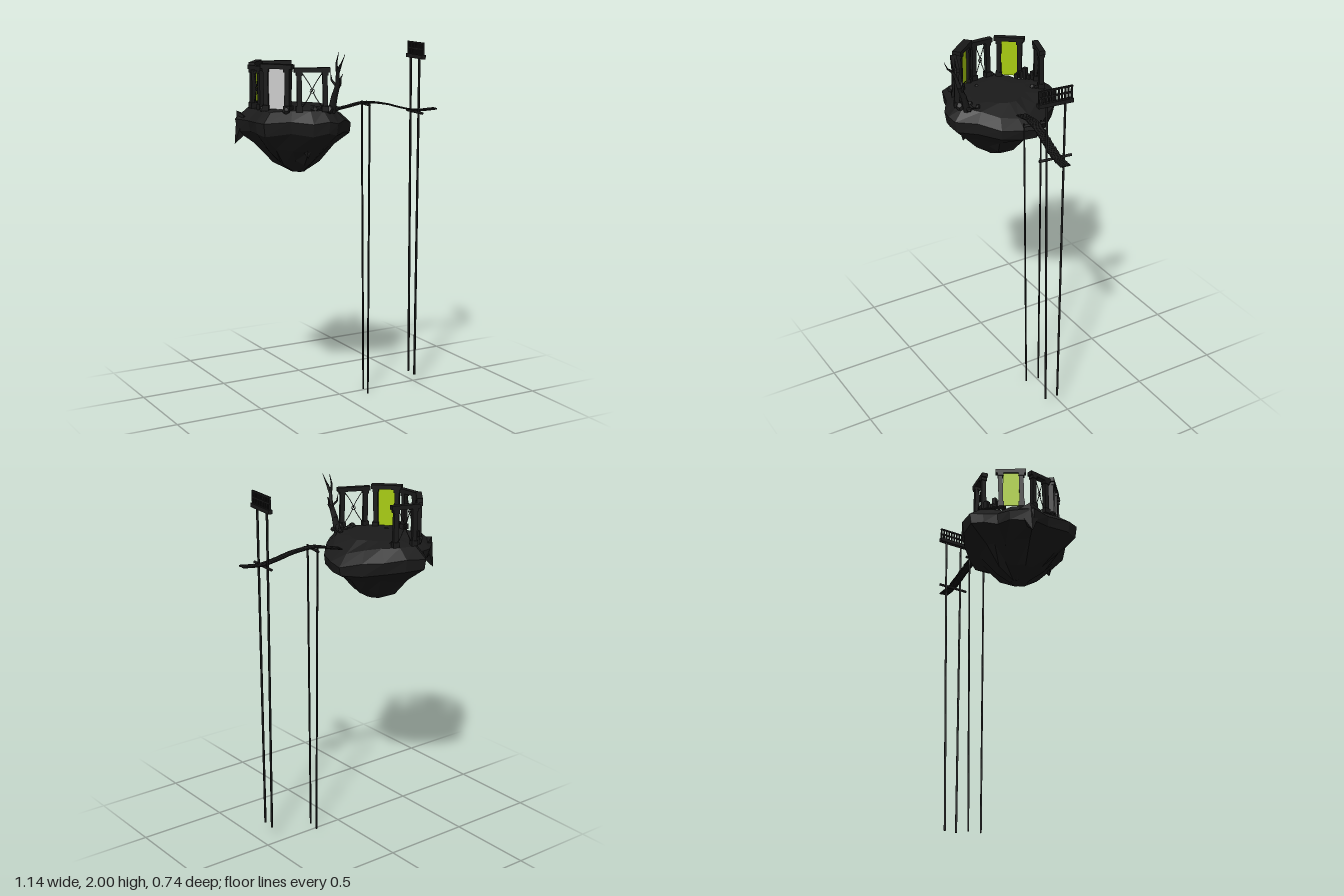
import * as THREE from 'three';

const paint = (color) => new THREE.MeshStandardMaterial({ color });
const rock = paint(0x1b1b1b), wood = paint(0x191919), green = paint(0xa8cc10), grey = paint(0xcccccc);
rock.flatShading = true;
const V = (x, y, z) => new THREE.Vector3(x, y, z);

// Seeded random numbers between -0.5 and 0.5
let seed = 7;
const rnd = () => ((seed = (seed * 16807) % 2147483647) / 2147483647) - 0.5;

function add(parent, name, geometry, material, x = 0, y = 0, z = 0) {
  const mesh = new THREE.Mesh(geometry, material);
  mesh.name = name;
  mesh.position.set(x, y, z);
  parent.add(mesh);
  return mesh;
}
const box = (parent, name, w, h, d, x, y, z, material = wood) =>
  add(parent, name, new THREE.BoxGeometry(w, h, d), material, x, y, z);

// Straight tapered rod from a to b
function rod(parent, name, a, b, ra, rb = ra, sides = 6, material = wood) {
  const d = b.clone().sub(a), mid = a.clone().add(b).multiplyScalar(0.5);
  const mesh = add(parent, name, new THREE.CylinderGeometry(rb, ra, d.length(), sides), material, mid.x, mid.y, mid.z);
  mesh.quaternion.setFromUnitVectors(V(0, 1, 0), d.normalize());
  return mesh;
}

// Floating island: one rim outline scaled through stacked rings
function island(parent) {
  const rim = [[-0.31, -0.37], [-0.2, -0.34], [-0.1, -0.27], [-0.03, -0.17], [0.046, -0.07], [0.043, 0.01],
    [0, 0.125], [-0.09, 0.22], [-0.18, 0.31], [-0.235, 0.32], [-0.32, 0.3], [-0.42, 0.235], [-0.555, 0.19],
    [-0.57, 0.125], [-0.55, -0.01], [-0.57, -0.13], [-0.47, -0.22], [-0.395, -0.245], [-0.355, -0.315]];
  // scale, height, roughness
  const levels = [[0, 1.685, 0], [0.5, 1.682, 0.004], [0.8, 1.672, 0.008], [1, 1.615, 0.015], [0.965, 1.55, 0.025],
    [0.68, 1.465, 0.035], [0.4, 1.385, 0.035], [0.14, 1.325, 0.01], [0, 1.318, 0]];
  const rings = levels.map(([s, y, j]) => rim.map(([x, z]) => {
    const k = s === 1 ? s : s + rnd() * j * 1.5;
    const drop = 0.045 * Math.max(0, x + 0.12) / 0.16 * (s > 0.7 && y > 1.54 ? 1 : 0);
    return V(-0.265 + (x + 0.265) * k, y + rnd() * j - drop, 0.015 + (z - 0.015) * k);
  }));
  const pos = [];
  for (let r = 0; r < rings.length - 1; r++) {
    for (let i = 0; i < rim.length; i++) {
      const n = (i + 1) % rim.length;
      const a = rings[r][i], b = rings[r][n], c = rings[r + 1][n], d = rings[r + 1][i];
      if (r > 0) pos.push(...a, ...b, ...c);
      if (r < rings.length - 2) pos.push(...a, ...c, ...d);
    }
  }
  const g = new THREE.BufferGeometry();
  g.setAttribute('position', new THREE.Float32BufferAttribute(pos, 3));
  g.computeVertexNormals();
  add(parent, 'island', g, rock);
  // Hanging rock points
  rod(parent, 'hangingRock', V(-0.5, 1.62, -0.11), V(-0.567, 1.475, -0.14), 0.07, 0.002, 5, rock);
  rod(parent, 'hangingRock', V(-0.3, 1.53, 0.17), V(-0.3, 1.42, 0.2), 0.07, 0.002, 5, rock);
}

// Ruined gate between two ground points; filled with a panel or crossed wires
function gate(parent, x1, z1, x2, z2, kind, depth = 0.03, top = 1.9) {
  const g = new THREE.Group(), w = Math.hypot(x2 - x1, z2 - z1), h = top - 1.67;
  g.name = 'gate';
  g.position.set((x1 + x2) / 2, 1.67, (z1 + z2) / 2);
  g.rotation.y = Math.atan2(z1 - z2, x2 - x1);
  parent.add(g);
  const px = w / 2 - 0.022, inner = px - 0.013;
  for (const s of [-1, 1]) {
    const post = box(g, 'gatePost', 0.026, h - 0.02, depth * 0.85, s * px, h / 2 - 0.01, 0);
    post.rotation.z = rnd() * 0.05;
    box(g, 'postFoot', 0.036, 0.03, depth * 1.2, s * px, 0.015, 0);
    box(g, 'postHead', 0.033, 0.018, depth * 1.1, s * px, h - 0.032, 0);
  }
  box(g, 'lintel', w + 0.01, 0.024, depth * 1.1, 0, h - 0.012, 0).rotation.z = rnd() * 0.05;
  if (kind === 'panel' || kind === 'backedPanel') {
    box(g, 'gatePanel', inner * 2, h - 0.03, 0.008, 0, h / 2 - 0.005, 0, green);
    if (kind === 'backedPanel') box(g, 'panelBack', inner * 2, h - 0.03, 0.003, 0, h / 2 - 0.005, 0.007, grey);
  } else {
    // Two slack wires bowing towards the middle, tied by a ring
    for (const s of [-1, 1]) {
      const curve = new THREE.CatmullRomCurve3([V(-s * inner, 0.02, 0), V(-s * inner * 0.3, h * 0.34, 0),
        V(s * inner * 0.2, h * 0.6, 0), V(s * inner, h - 0.025, 0)]);
      add(g, 'crossWire', new THREE.TubeGeometry(curve, 10, 0.0022, 5), wood);
    }
    add(g, 'wireRing', new THREE.TorusGeometry(0.011, 0.002, 5, 12), wood, 0, h * 0.47, 0);
  }
}

// Bare tree: each limb is a chain of tapering rods
function tree(parent) {
  const limbs = [
    [0.02, [-0.18, 1.66, 0.235], [-0.175, 1.74, 0.255], [-0.17, 1.81, 0.285], [-0.18, 1.87, 0.3], [-0.185, 1.92, 0.295], [-0.176, 1.98, 0.305]],
    [0.009, [-0.18, 1.87, 0.3], [-0.178, 1.91, 0.325], [-0.182, 1.925, 0.345], [-0.175, 1.97, 0.368]],
    [0.01, [-0.173, 1.78, 0.27], [-0.15, 1.81, 0.275], [-0.145, 1.84, 0.27], [-0.128, 1.862, 0.265]],
    [0.008, [-0.172, 1.8, 0.28], [-0.19, 1.83, 0.255], [-0.195, 1.87, 0.25]],
    [0.012, [-0.18, 1.7, 0.24], [-0.16, 1.68, 0.215], [-0.15, 1.67, 0.19]],
  ];
  for (const [r, ...pts] of limbs) {
    const n = pts.length - 1;
    for (let i = 0; i < n; i++) {
      rod(parent, 'treeLimb', V(...pts[i]), V(...pts[i + 1]), r * (1 - i / n) + 0.001, r * (1 - (i + 1) / n) + 0.001);
    }
  }
}

// Loose stones and fallen blocks
function rubble(parent) {
  const stones = [[-0.22, -0.2, 0.018], [-0.21, -0.215, 0.014], [-0.36, -0.25, 0.018], [-0.49, -0.09, 0.018],
    [-0.5, 0.06, 0.016], [-0.43, 0.2, 0.02], [-0.25, 0.21, 0.02], [-0.21, 0.2, 0.015], [-0.16, 0.18, 0.014],
    [-0.28, 0.23, 0.02], [-0.39, 0.06, 0.013], [-0.21, 0.26, 0.025], [-0.15, 0.24, 0.014]];
  for (const [x, z, r] of stones) {
    const m = add(parent, 'stone', new THREE.DodecahedronGeometry(r), rock, x, 1.678, z);
    m.rotation.set(rnd() * 3, rnd() * 3, 0);
  }
  for (let i = 0; i < 5; i++) {
    const h = 0.025 + 0.02 * (i % 3);
    box(parent, 'fallenBlock', 0.024, h, 0.024, -0.385 + i * 0.014, 1.67 + h / 2, -0.2 - i * 0.017).rotation.y = rnd();
  }
}

// Plank bridge following a sagging curve
function bridge(parent) {
  const path = new THREE.CatmullRomCurve3([V(-0.015, 1.645, -0.003), V(0.06, 1.66, 0.007), V(0.145, 1.676, 0.021),
    V(0.275, 1.662, 0.042), V(0.37, 1.637, 0.057), V(0.455, 1.62, 0.071), V(0.57, 1.625, 0.09)]);
  const count = 42;
  for (let i = 0; i < count; i++) {
    const p = path.getPointAt((i + 0.5) / count), t = path.getTangentAt((i + 0.5) / count);
    const plank = box(parent, 'plank', 0.0125, 0.005, 0.053 + rnd() * 0.006, p.x, p.y, p.z + rnd() * 0.004);
    plank.rotation.set(0, -0.16 + rnd() * 0.08, Math.asin(t.y), 'YXZ');
  }
  for (const s of [-0.018, 0.018]) {
    const rope = add(parent, 'bridgeRope', new THREE.TubeGeometry(path, 40, 0.003, 5), wood, 0, -0.004, s);
    rope.name = 'bridgeRope';
  }
}

// Tall poles with cross beams and an open slatted board at the far end
function poles(parent) {
  rod(parent, 'nearPole', V(0.165, 0, -0.01), V(0.155, 1.678, -0.022), 0.0055);
  rod(parent, 'nearPole', V(0.151, 0, 0.064), V(0.147, 1.678, 0.077), 0.0055);
  rod(parent, 'nearCrossBeam', V(0.163, 1.664, -0.04), V(0.145, 1.664, 0.08), 0.008);
  rod(parent, 'farPole', V(0.444, 0.08, 0.037), V(0.448, 1.93, 0.02), 0.0065);
  rod(parent, 'farPole', V(0.438, 0.08, 0.11), V(0.438, 1.93, 0.123), 0.0065);
  rod(parent, 'farCrossBeam', V(0.453, 1.61, -0.02), V(0.435, 1.61, 0.163), 0.008);
  const board = new THREE.Group();
  board.name = 'slattedBoard';
  board.position.set(0.444, 1.92, 0.076);
  board.rotation.y = -0.1;
  parent.add(board);
  box(board, 'boardBeam', 0.024, 0.022, 0.195, 0, 0, 0);
  for (const y of [0.042, 0.075]) box(board, 'boardRail', 0.01, 0.008, 0.19, 0, y, 0);
  for (let i = 0; i < 11; i++) box(board, 'boardSlat', 0.01, 0.07, 0.007, 0, 0.044, -0.09 + i * 0.018);
}

export function createModel() {
  const model = new THREE.Group();
  model.name = 'floatingIsland';
  island(model);
  gate(model, -0.325, -0.28, -0.18, -0.235, 'wires');
  gate(model, -0.475, -0.11, -0.375, -0.235, 'panel', 0.03, 1.91);
  gate(model, -0.492, -0.09, -0.488, 0.045, 'wires');
  gate(model, -0.49, 0.055, -0.385, 0.18, 'backedPanel', 0.045, 1.915);
  gate(model, -0.38, 0.205, -0.215, 0.275, 'wires');
  tree(model);
  rubble(model);
  bridge(model);
  poles(model);
  return model;
}
